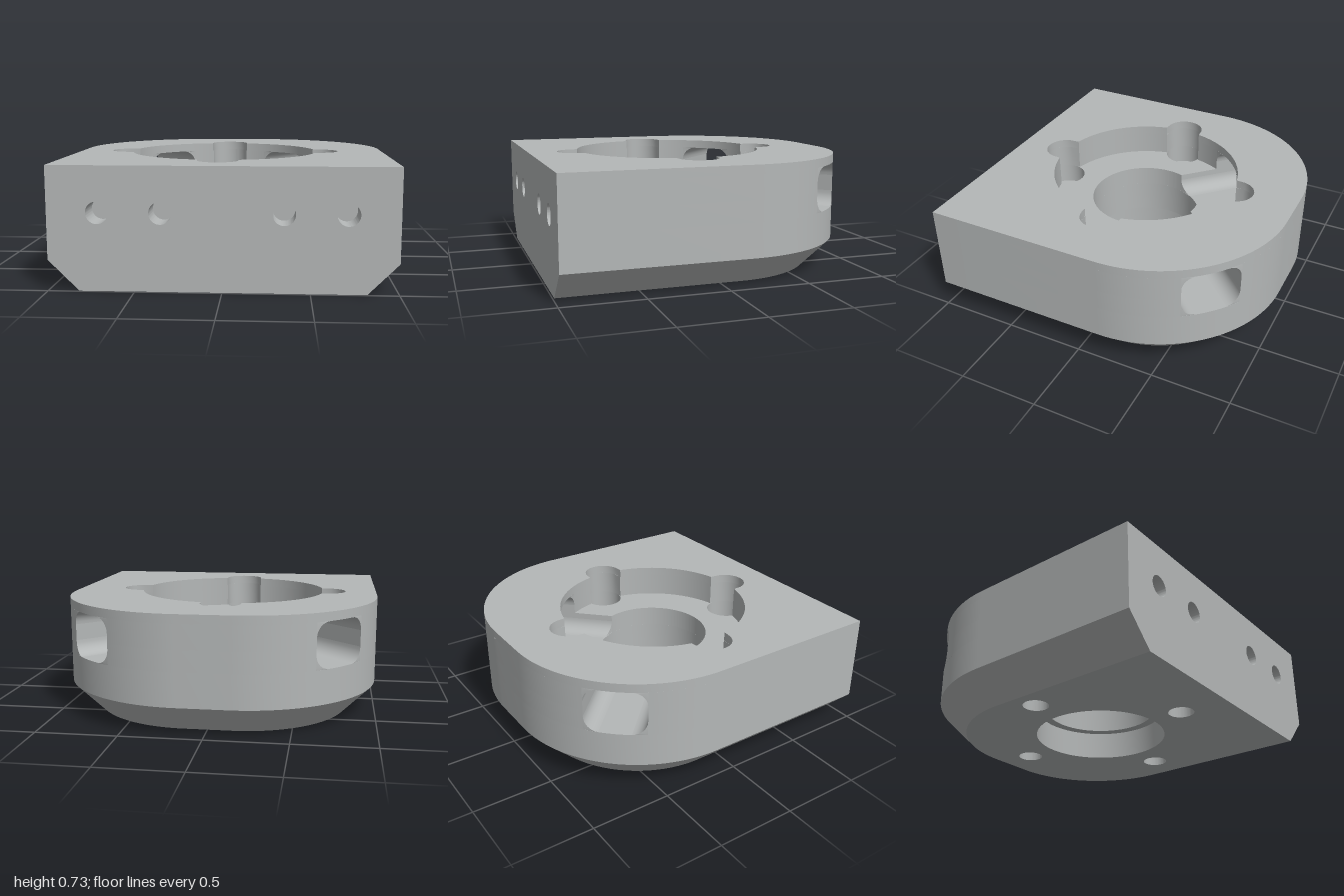
import * as THREE from 'three';
import { toCreasedNormals } from 'three/addons/utils/BufferGeometryUtils.js';

// Plan coordinates: u = x, v = -z (back is +v)
const V = (u, v) => new THREE.Vector2(u, v);
const HALF_PI = Math.PI / 2;
const BORE = V(-0.045, -0.05), BORE_R = 0.36, RECESS_R = 0.61;
const SCREW_D = 0.63, SCREW_R = 0.08, SINK_R = 0.125;
const CORNER_U = 0.15, CORNER_V = 0.14, CORNER_R = 0.85;
const PLATE = 0.82, FRONT = 0.99;
const Y = { chamfer: 0.18, channel: 0.39, floor: 0.52, roof: 0.67, top: 0.725 };
const EDGE_BACK = 0.21, EDGE_FRONT = -0.165; // channel sides, offset from the bore centre

const steel = new THREE.MeshStandardMaterial({ color: 0xb4b7b7, side: THREE.DoubleSide });
steel.name = 'grey';

function part(name, geometry) {
  const mesh = new THREE.Mesh(toCreasedNormals(geometry, 0.5), steel);
  mesh.name = name;
  return mesh;
}

// Points at polar radius f(angle) around a centre
function arc(c, f, a0, a1, steps = 32) {
  return Array.from({ length: steps + 1 }, (_, i) => {
    const a = a0 + (a1 - a0) * i / steps, r = f(a);
    return V(c.x + r * Math.cos(a), c.y + r * Math.sin(a));
  });
}
const circle = (c, r) => arc(c, () => r, 0, Math.PI * 2, 64).slice(0, -1);
const corner = s => V(s * CORNER_U, CORNER_V);
const angle = (p, c) => Math.atan2(p.y - c.y, p.x - c.x);

// Rounded back outline, straight sides, open toward the front plate
function outline(inset = 0) {
  const r = () => CORNER_R - inset;
  return [V(1 - inset, -PLATE), ...arc(corner(1), r, 0, HALF_PI),
    ...arc(corner(-1), r, HALF_PI, Math.PI), V(inset - 1, -PLATE)];
}

// Recess wall radius, bulging outward around the four screw seats
function recess(a) {
  const d = a - Math.round(a / HALF_PI) * HALF_PI;
  const k = SINK_R ** 2 - (SCREW_D * Math.sin(d)) ** 2;
  return k > 0 ? Math.max(RECESS_R, SCREW_D * Math.cos(d) + Math.sqrt(k)) : RECESS_R;
}

const screws = [0, 1, 2, 3].map(i => V(
  BORE.x + SCREW_D * Math.cos(i * HALF_PI), BORE.y + SCREW_D * Math.sin(i * HALF_PI)));

function slab(name, points, holes, y0, y1) {
  const shape = new THREE.Shape(points);
  shape.holes = holes.map(h => new THREE.Path(h));
  const g = new THREE.ExtrudeGeometry(shape, { depth: y1 - y0, bevelEnabled: false });
  g.rotateX(-HALF_PI).translate(0, y0, 0);
  return part(name, g);
}

// Points where a line along a diagonal channel meets the inner circle and outer wall
function channelLine(s, o, r) {
  const d = V(s, 1).multiplyScalar(Math.SQRT1_2), n = V(-s, 1).multiplyScalar(Math.SQRT1_2);
  const base = BORE.clone().addScaledVector(n, o);
  const rel = base.clone().sub(corner(s)), b = rel.dot(d);
  const t = -b + Math.sqrt(b * b - rel.lengthSq() + CORNER_R ** 2);
  return {
    inner: base.clone().addScaledVector(d, Math.sqrt(r * r - o * o)),
    outer: base.clone().addScaledVector(d, t)
  };
}

// Wedge behind the two channels
function backPiece(r, f) {
  const a = channelLine(1, EDGE_BACK, r), b = channelLine(-1, EDGE_BACK, r), R = () => CORNER_R;
  return [...arc(corner(1), R, angle(a.outer, corner(1)), HALF_PI, 16),
    ...arc(corner(-1), R, HALF_PI, angle(b.outer, corner(-1)), 16),
    ...arc(BORE, f, angle(b.inner, BORE), angle(a.inner, BORE), 60)];
}

// U-shaped piece in front of the two channels
function frontPiece(r, f) {
  const a = channelLine(1, EDGE_FRONT, r), b = channelLine(-1, EDGE_FRONT, r), R = () => CORNER_R;
  return [...arc(corner(-1), R, angle(b.outer, corner(-1)), Math.PI, 16),
    V(-1, -PLATE), V(1, -PLATE),
    ...arc(corner(1), R, 0, angle(a.outer, corner(1)), 16),
    ...arc(BORE, f, angle(a.inner, BORE), angle(b.inner, BORE) - Math.PI * 2, 180)];
}

// Concave rounding that runs along one corner of a channel
function fillet(s, back, top) {
  const r = 0.09;
  const shape = new THREE.Shape([V(0, 0), ...arc(V(r, r), () => r, -HALF_PI, -Math.PI, 8)]);
  const g = new THREE.ExtrudeGeometry(shape, { depth: 1, bevelEnabled: false });
  const p = g.attributes.position;
  for (let i = 0; i < p.count; i++) {
    const o = back ? EDGE_BACK - p.getX(i) : EDGE_FRONT + p.getX(i);
    const y = top ? Y.roof - p.getY(i) : Y.channel + p.getY(i);
    const line = channelLine(s, o, top ? RECESS_R : BORE_R);
    const q = p.getZ(i) > 0.5 ? line.outer : line.inner;
    p.setXYZ(i, q.x, y, -q.y);
  }
  return part('channelRounding', g);
}

// Sloped skirt under the sides and back
function chamfer() {
  const low = outline(Y.chamfer), high = outline(), pos = [];
  const put = (p, y) => pos.push(p.x, y, -p.y);
  for (let i = 0; i < low.length - 1; i++) {
    put(low[i], 0); put(low[i + 1], 0); put(high[i + 1], Y.chamfer);
    put(low[i], 0); put(high[i + 1], Y.chamfer); put(high[i], Y.chamfer);
  }
  const g = new THREE.BufferGeometry();
  g.setAttribute('position', new THREE.Float32BufferAttribute(pos, 3));
  g.computeVertexNormals();
  return part('bottomChamfer', g);
}

// Front wall with four blind holes
function frontPlate() {
  const c = Y.chamfer;
  const shape = new THREE.Shape([V(c - 1, 0), V(1 - c, 0), V(1, c), V(1, Y.top), V(-1, Y.top), V(-1, c)]);
  shape.holes = [-0.71, -0.35, 0.35, 0.71].map(x => new THREE.Path(circle(V(x, 0.455), 0.065)));
  const g = new THREE.ExtrudeGeometry(shape, { depth: FRONT - PLATE, bevelEnabled: false });
  return part('frontPlate', g.translate(0, 0, PLATE));
}

export function createModel() {
  const model = new THREE.Group();
  model.name = 'mountingBlock';
  const screwHoles = screws.map(c => circle(c, SCREW_R));
  const seats = screws.map(c => circle(c, SINK_R));
  const bore = () => BORE_R;

  model.add(
    frontPlate(),
    chamfer(),
    slab('base', outline(Y.chamfer), [circle(BORE, 0.42), ...screwHoles], 0, Y.chamfer),
    slab('lowerBody', outline(), [circle(BORE, BORE_R), ...screwHoles], Y.chamfer, Y.channel),
    // Layer between channel floor and recess floor; screw seats cut into it
    slab('backSeat', backPiece(BORE_R, bore), [seats[1]], Y.channel, Y.floor),
    slab('frontSeat', frontPiece(BORE_R, bore), [seats[0], seats[2], seats[3]], Y.channel, Y.floor),
    // Walls around the recess
    slab('backWall', backPiece(RECESS_R, recess), [], Y.floor, Y.roof),
    slab('frontWall', frontPiece(RECESS_R, recess), [], Y.floor, Y.roof),
    slab('topRim', outline(), [arc(BORE, recess, 0, Math.PI * 2, 240).slice(0, -1)], Y.roof, Y.top)
  );
  for (const s of [1, -1])
    for (const back of [true, false])
      for (const top of [true, false]) model.add(fillet(s, back, top));
  return model;
}
